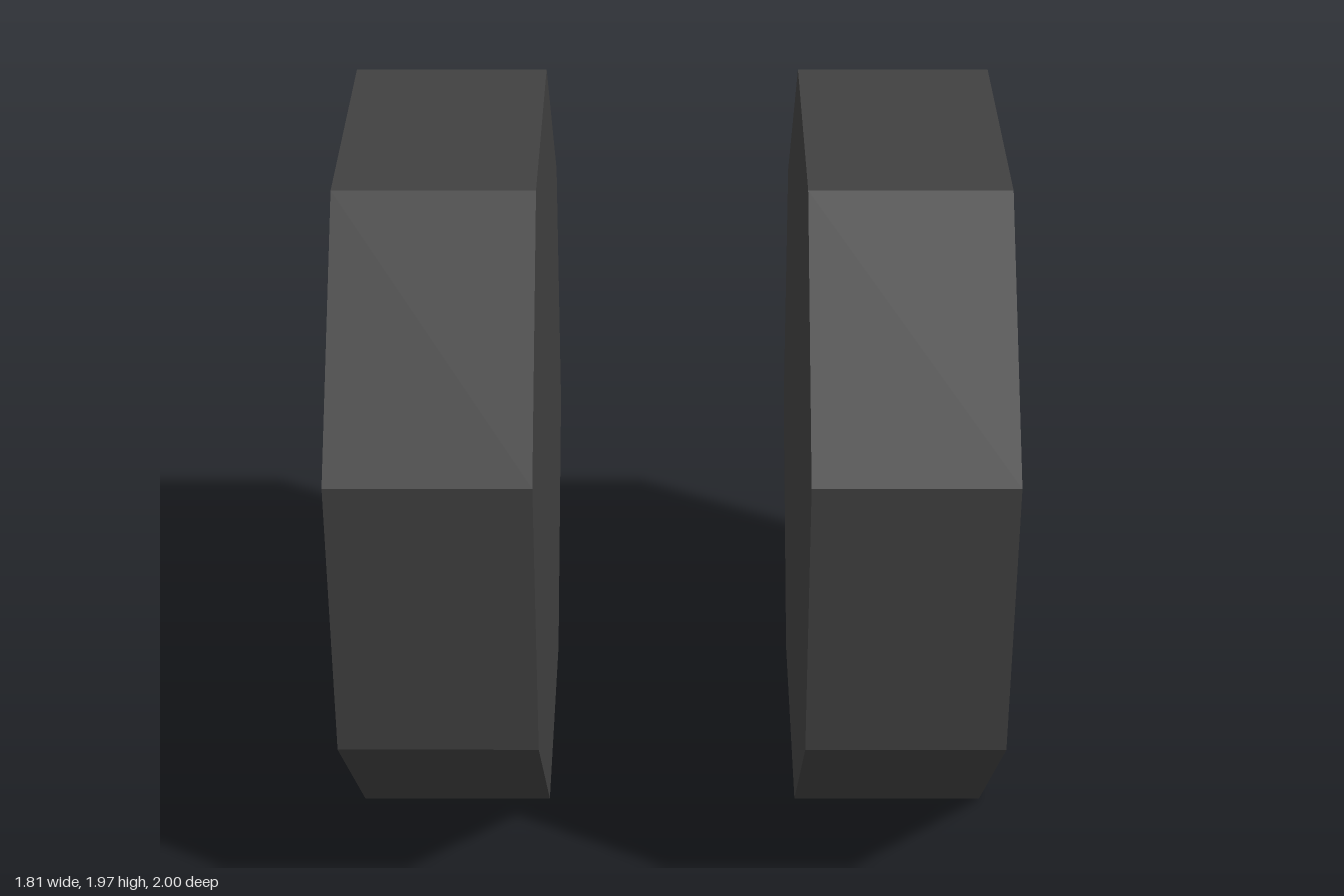
import * as THREE from 'three';

export function createModel() {
  const model = new THREE.Group();
  model.name = 'wheelPair';

  const material = new THREE.MeshStandardMaterial({ color: 0x404040, flatShading: true });
  const radius = 1.05, width = 0.535, spacing = 0.622, centreHeight = 0.986;

  // Eight-sided solid wheel lying along x, rolled so its corners sit 20 degrees off the axes
  const wheelGeometry = new THREE.CylinderGeometry(radius, radius, width, 8, 1, false, -0.351);
  wheelGeometry.rotateZ(-Math.PI / 2);

  // The pair shares one axis, turned very slightly about the vertical
  const axle = new THREE.Group();
  axle.name = 'wheels';
  axle.position.y = centreHeight;
  axle.rotation.y = -0.018;
  for (const [name, side] of [['leftWheel', 1], ['rightWheel', -1]]) {
    const wheel = new THREE.Mesh(wheelGeometry, material);
    wheel.name = name;
    wheel.position.x = side * spacing;
    axle.add(wheel);
  }
  model.add(axle);
  return model;
}
